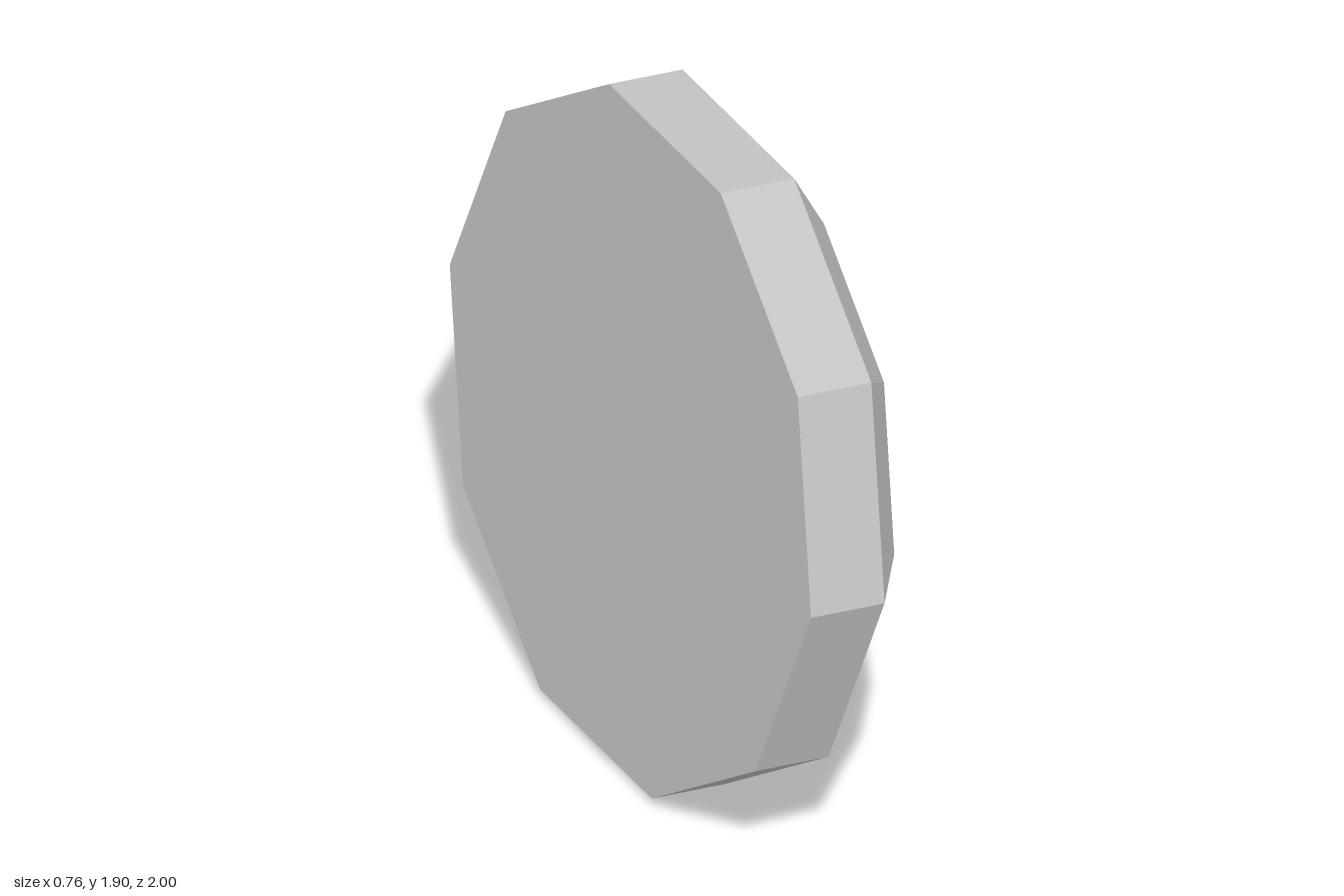
import * as THREE from 'three';

const SIDES = 10;
const RADIUS = 0.993;      // rim corner radius
const THICKNESS = 0.228;   // depth of the rim
const CAP = THREE.MathUtils.degToRad(40); // half angle of the spherical cap
const RINGS = 4;

// Ten-sided lathe whose axis points along +x
function lathe(points, material, name) {
  const geometry = new THREE.LatheGeometry(points.map(([r, h]) => new THREE.Vector2(r, h)), SIDES);
  geometry.rotateZ(-Math.PI / 2);
  const mesh = new THREE.Mesh(geometry, material);
  mesh.name = name;
  return mesh;
}

export function createModel() {
  const grey = new THREE.MeshStandardMaterial({ color: 0xc4c4c4, flatShading: true });
  grey.name = 'light grey';

  const disc = new THREE.Group();
  disc.name = 'domedDisc';

  // Flat back and straight rim
  disc.add(lathe([[0, -THICKNESS], [RADIUS, -THICKNESS]], grey, 'back'));
  disc.add(lathe([[RADIUS, -THICKNESS], [RADIUS, 0]], grey, 'rim'));

  // Shallow faceted dome, a cap of a larger sphere
  const sphere = RADIUS / Math.sin(CAP);
  const profile = [];
  for (let i = RINGS; i >= 0; i--) {
    const a = (CAP * i) / RINGS;
    profile.push([sphere * Math.sin(a), sphere * (Math.cos(a) - Math.cos(CAP))]);
  }
  disc.add(lathe(profile, grey, 'dome'));

  // Tilted slightly down and towards the front
  disc.rotation.set(0, -0.1214, -0.1127, 'YZX');
  disc.position.set(0.008, 0.939, 0.0135);

  const model = new THREE.Group();
  model.name = 'model';
  model.add(disc);
  return model;
}
